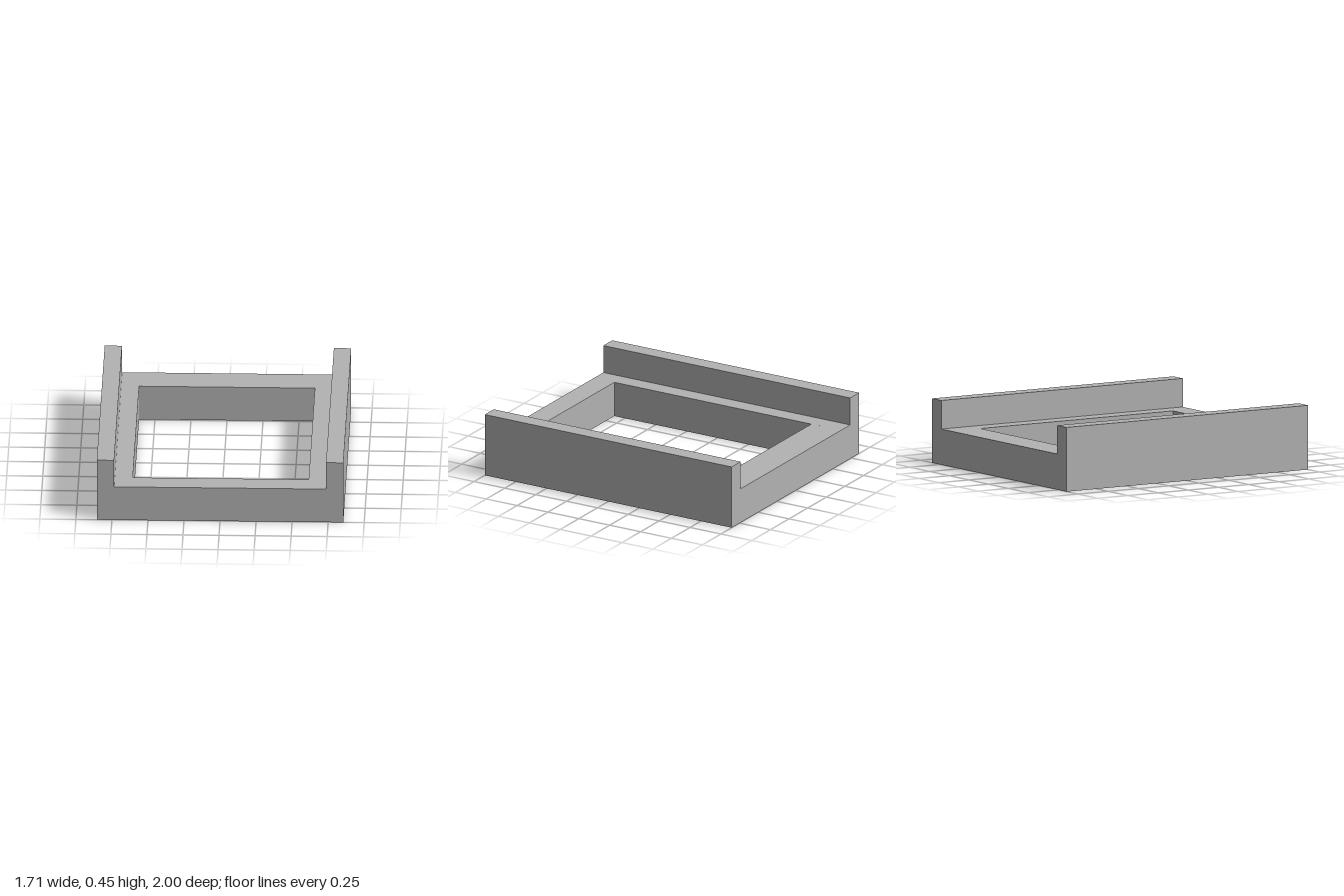
import * as THREE from 'three';

const HALF_W = 0.855, HALF_L = 1, HEIGHT = 0.45, FLOOR = 0.25;
const LIP_X = 0.735, HOLE_X = 0.61, HOLE_BACK = -0.76, HOLE_FRONT = 0.835;

export function createModel() {
  const model = new THREE.Group();
  model.name = 'railedFrame';
  const grey = new THREE.MeshStandardMaterial({ color: 0xb2b2b2 });
  grey.name = 'grey';

  const add = (name, geometry) => {
    const mesh = new THREE.Mesh(geometry, grey);
    mesh.name = name;
    model.add(mesh);
    return mesh;
  };

  // Side rails: L-shaped section with a raised outer lip
  for (const [side, s] of [['left', 1], ['right', -1]]) {
    const section = new THREE.Shape([
      [HOLE_X, 0], [HALF_W, 0], [HALF_W, HEIGHT],
      [LIP_X, HEIGHT], [LIP_X, FLOOR], [HOLE_X, FLOOR],
    ].map(([x, y]) => new THREE.Vector2(s * x, y)));
    const rail = new THREE.ExtrudeGeometry(section, { depth: 2 * HALF_L, bevelEnabled: false });
    add(side + 'Rail', rail.translate(0, 0, -HALF_L));
  }

  // Crossbars closing the frame; the back one is deeper
  const crossbar = (name, z0, z1) =>
    add(name, new THREE.BoxGeometry(2 * HOLE_X, FLOOR, z1 - z0))
      .position.set(0, FLOOR / 2, (z0 + z1) / 2);
  crossbar('backCrossbar', -HALF_L, HOLE_BACK);
  crossbar('frontCrossbar', HOLE_FRONT, HALF_L);

  return model;
}
